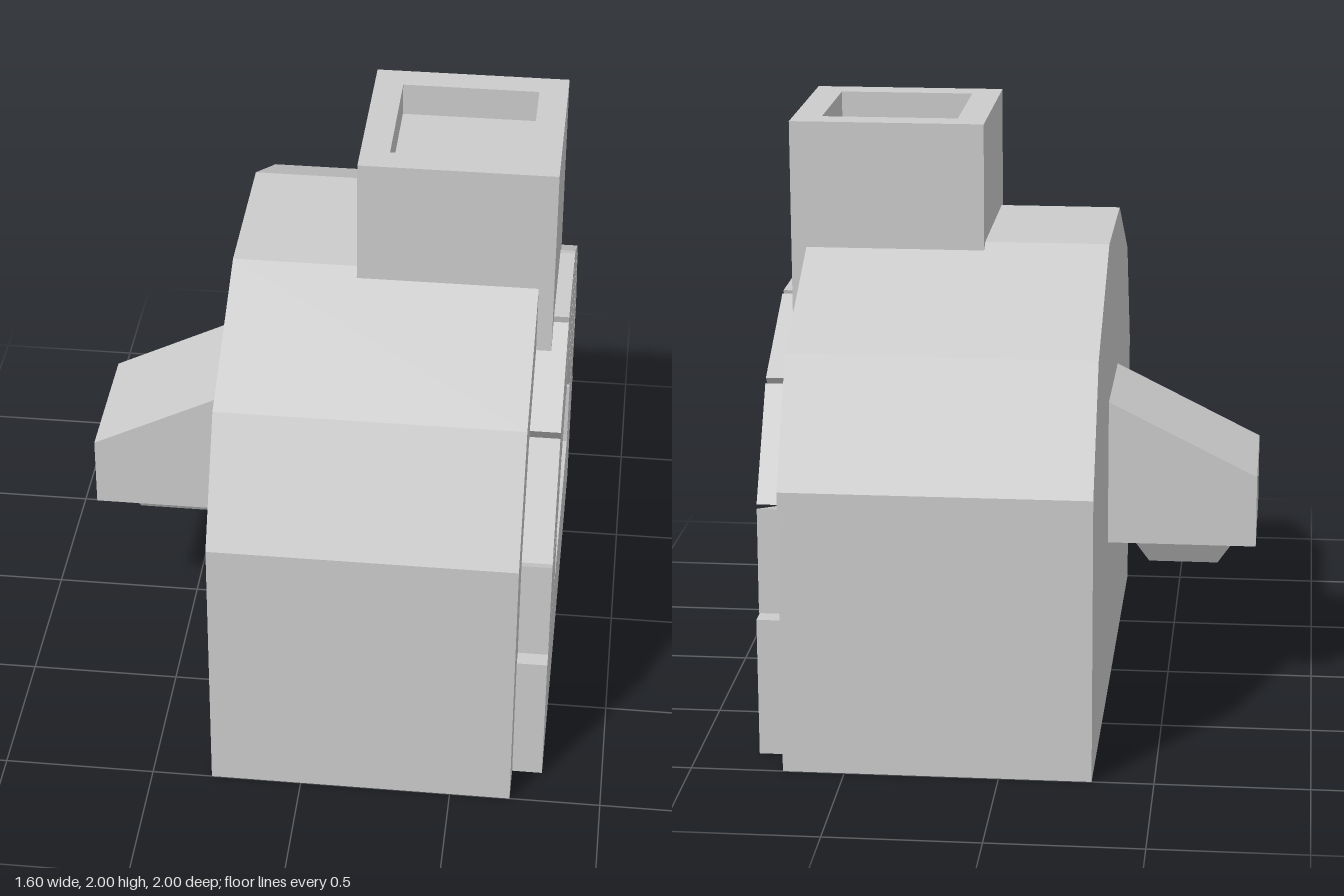
import * as THREE from 'three';

const mat = new THREE.MeshStandardMaterial({ color: 0xcccccc, flatShading: true, side: THREE.DoubleSide });
const V = (p) => new THREE.Vector2(p[0], p[1]);

// Full loop, counter-clockwise, from the right half of a symmetric profile
const mirrorLoop = (half) => [...half, ...half.map(([u, y]) => [-u, y]).reverse()];

function add(group, name, geometry) {
  const mesh = new THREE.Mesh(geometry, mat);
  mesh.name = name;
  group.add(mesh);
  return mesh;
}

// Shape across z-y, pushed along x from x0 to x1
function slab(loop, x0, x1) {
  const g = new THREE.ExtrudeGeometry(new THREE.Shape(loop.map(V)), { depth: x1 - x0, bevelEnabled: false });
  return g.translate(0, 0, x0).rotateY(Math.PI / 2);
}

// Flat wall at x, optionally with an opening; dir is the side it faces
function wall(loop, x, dir, hole) {
  const shape = new THREE.Shape(loop.map(V));
  if (hole) shape.holes.push(new THREE.Path(hole.map(V)));
  return new THREE.ShapeGeometry(shape).rotateY(dir * Math.PI / 2).translate(x, 0, 0);
}

// Open tube of flat panels following a loop from x0 to x1
function skin(loop, x0, x1) {
  const pos = [];
  loop.forEach((a, i) => {
    const b = loop[(i + 1) % loop.length];
    const q = [[x0, a], [x0, b], [x1, b], [x1, a]].map(([x, p]) => [x, p[1], -p[0]]);
    for (const k of [0, 1, 2, 0, 2, 3]) pos.push(...q[k]);
  });
  const g = new THREE.BufferGeometry();
  g.setAttribute('position', new THREE.Float32BufferAttribute(pos, 3));
  g.computeVertexNormals();
  return g;
}

export function createModel() {
  const model = new THREE.Group();
  model.name = 'furnace';

  // Hollow body with a vaulted outline and an arched mouth
  const outer = mirrorLoop([[1, 0], [1, 0.945], [0.785, 1.34], [0.28, 1.6]]);
  const mouth = mirrorLoop([[0.46, 0.44], [0.45, 0.74], [0.38, 0.98], [0.13, 1.11]]);
  const chamber = mirrorLoop([[0.8, 0.44], [0.8, 0.87], [0.63, 1.16], [0.22, 1.33]]);
  const body = new THREE.Group();
  body.name = 'body';
  model.add(body);
  add(body, 'outerSkin', skin(outer, -0.3, 0.7));
  add(body, 'backWall', wall(outer, -0.3, -1));
  add(body, 'mouthWall', wall(outer, 0.7, 1, mouth));
  add(body, 'mouthJamb', skin([...mouth].reverse(), 0.5, 0.7));
  add(body, 'chamberMouthWall', wall(chamber, 0.5, -1, mouth));
  add(body, 'chamberSkin', skin([...chamber].reverse(), -0.1, 0.5));
  add(body, 'chamberBackWall', wall(chamber, -0.1, 1));

  // Sill under the mouth
  add(model, 'sill', new THREE.BoxGeometry(0.2, 0.465, 1.72)).position.set(0.7, 0.2325, 0);

  // Arch stones: three on each side and a keystone
  const stones = [
    [[0.415, 0.47], [0.81, 0.47], [0.805, 0.825], [0.415, 0.708]],
    [[0.41, 0.72], [0.805, 0.84], [0.59, 1.185], [0.305, 0.895]],
    [[0.295, 0.902], [0.578, 1.2], [0.225, 1.395], [0.12, 1.0]],
  ];
  const arch = new THREE.Group();
  arch.name = 'arch';
  model.add(arch);
  for (const s of stones) {
    add(arch, 'archStone', slab(s, 0.6, 0.8));
    add(arch, 'archStone', slab(s.map(([u, y]) => [-u, y]).reverse(), 0.6, 0.8));
  }
  add(arch, 'keystone', slab([[-0.1, 1.0], [0.1, 1.0], [0.2, 1.4], [-0.2, 1.4]], 0.6, 0.8));

  // Square chimney with a recessed top
  const square = (r) => [[-r, -r], [r, -r], [r, r], [-r, r]].map(V);
  const rim = new THREE.Shape(square(0.32));
  rim.holes.push(new THREE.Path(square(0.225)));
  const flue = new THREE.ExtrudeGeometry(rim, { depth: 0.66, bevelEnabled: false });
  add(model, 'chimney', flue.rotateX(-Math.PI / 2)).position.set(0.43, 1.34, 0);
  add(model, 'chimneyFloor', new THREE.BoxGeometry(0.45, 0.5, 0.45)).position.set(0.43, 1.64, 0);

  // Sloped chute on the rear with a tapered spout below
  const chute = new THREE.Shape([[-0.8, 0.555], [-0.3, 0.555], [-0.3, 1.05], [-0.8, 0.8]].map(V));
  add(model, 'chute', new THREE.ExtrudeGeometry(chute, { depth: 0.49, bevelEnabled: false })).position.z = -0.245;
  const spout = new THREE.CylinderGeometry(0.177 * Math.SQRT2, 0.117 * Math.SQRT2, 0.105, 4).rotateY(Math.PI / 4);
  add(model, 'spout', spout).position.set(-0.552, 0.5025, 0);

  return model;
}
